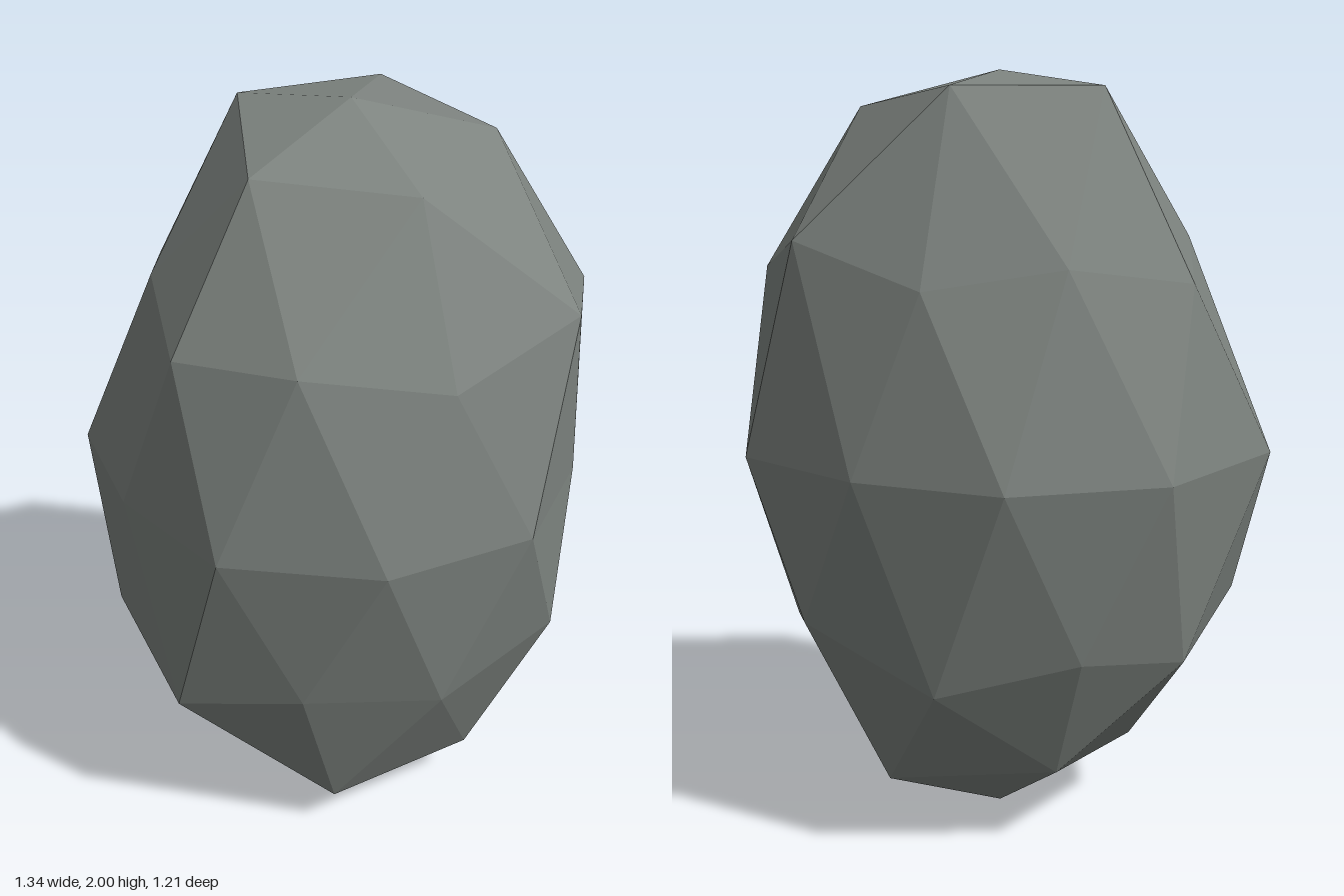
import * as THREE from 'three';

const stone = new THREE.MeshStandardMaterial({ color: 0x7d837f, flatShading: true });
stone.name = 'greyStone';

// Irregular cross-sections from crown to foot, each point [x, y, z], running from +x towards +z
const top = [0.02, 2, 0];
const crown = [[0.37, 1.91, 0], [0.14, 1.855, 0.28], [-0.24, 1.885, 0.19], [-0.23, 1.96, -0.2], [0.14, 1.96, -0.3]];
const shoulder = [
  [0.62, 1.51, 0], [0.52, 1.555, 0.31], [0.19, 1.465, 0.49], [-0.17, 1.53, 0.49], [-0.44, 1.51, 0.32],
  [-0.47, 1.585, 0], [-0.44, 1.5, -0.33], [-0.13, 1.55, -0.47], [0.21, 1.5, -0.47], [0.52, 1.6, -0.28],
];
const waist = [
  [0.58, 0.175], [0.395, 0.48], [0.02, 0.6], [-0.37, 0.49], [-0.58, 0.175],
  [-0.67, -0.175], [-0.375, -0.52], [0.02, -0.605], [0.38, -0.46], [0.665, -0.2],
].map(([x, z]) => [x, 1.05, z]);
const belly = [
  [0.57, 0.565, 0], [0.52, 0.64, 0.29], [0.19, 0.56, 0.47], [-0.17, 0.6, 0.48], [-0.48, 0.51, 0.33],
  [-0.615, 0.63, 0], [-0.44, 0.54, -0.33], [-0.17, 0.59, -0.48], [0.19, 0.5, -0.46], [0.52, 0.64, -0.29],
];
const foot = [[0.33, 0.145, 0.18], [-0.07, 0.13, 0.33], [-0.34, 0.2, 0], [-0.12, 0.23, -0.31], [0.32, 0.145, -0.16]];
const bottom = [0.02, 0, 0];

export function createModel() {
  const positions = [];
  const tri = (a, b, c) => positions.push(...a, ...b, ...c);
  const at = (ring, i) => ring[(i + ring.length) % ring.length];

  // Five-fold caps
  for (let k = 0; k < 5; k++) {
    const j = 2 * k;
    const c = crown[k], cNext = at(crown, k + 1);
    tri(top, cNext, c);
    tri(c, at(shoulder, j + 1), shoulder[j]);
    tri(c, shoulder[j], at(shoulder, j - 1));
    tri(c, cNext, at(shoulder, j + 1));

    const f = foot[k], fNext = at(foot, k + 1);
    tri(belly[j], belly[j + 1], f);
    tri(belly[j + 1], at(belly, j + 2), f);
    tri(at(belly, j + 2), fNext, f);
    tri(f, fNext, bottom);
  }

  // Ten-sided bands above and below the waist
  for (let j = 0; j < 10; j++) {
    tri(shoulder[j], waist[j], at(waist, j - 1));
    tri(shoulder[j], at(shoulder, j + 1), waist[j]);
    tri(waist[j], at(belly, j + 1), belly[j]);
    tri(waist[j], at(waist, j + 1), at(belly, j + 1));
  }

  const geometry = new THREE.BufferGeometry();
  geometry.setAttribute('position', new THREE.Float32BufferAttribute(positions, 3));
  geometry.computeVertexNormals();

  const rock = new THREE.Mesh(geometry, stone);
  rock.name = 'rock';
  const group = new THREE.Group();
  group.name = 'facetedRock';
  group.add(rock);
  return group;
}
